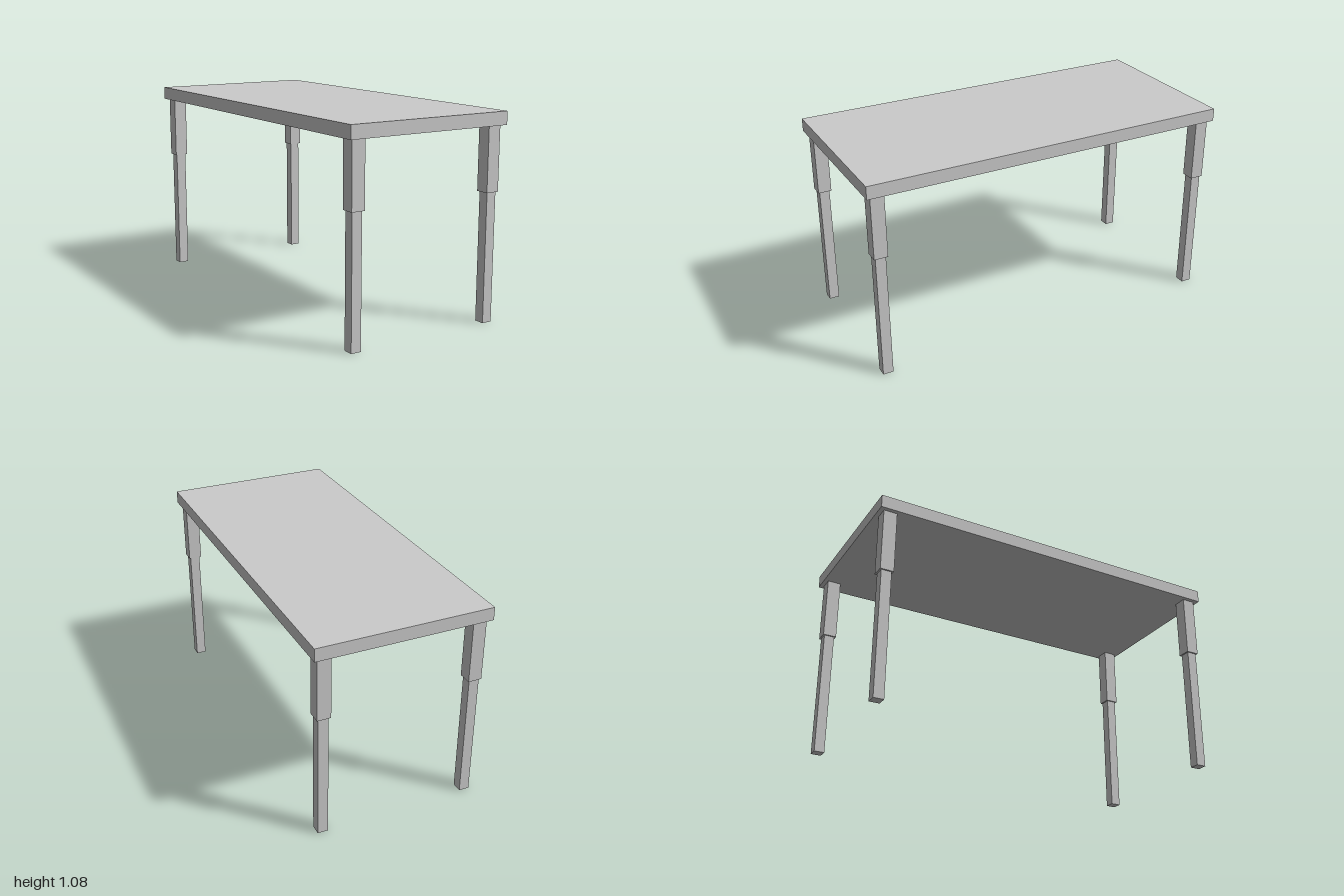
import * as THREE from 'three';

const material = new THREE.MeshStandardMaterial({ color: 0xcccccc, flatShading: true });

// Box standing on height y0 and reaching y1
function block(name, width, depth, y0, y1) {
  const mesh = new THREE.Mesh(new THREE.BoxGeometry(width, y1 - y0, depth), material);
  mesh.name = name;
  mesh.position.y = (y0 + y1) / 2;
  return mesh;
}

// Telescopic leg: thick sleeve above, thinner post below
function createLeg(name, x, z) {
  const leg = new THREE.Group();
  leg.name = name;
  leg.add(block('legSleeve', 0.072, 0.072, 0.678, 1.014));
  leg.add(block('legPost', 0.055, 0.055, 0, 0.678));
  leg.position.set(x, 0, z);
  return leg;
}

export function createModel() {
  const table = new THREE.Group();
  table.name = 'table';
  table.add(block('tableTop', 0.928, 2, 1.014, 1.083));

  // One leg near each corner
  for (const [side, sx] of [['Left', 1], ['Right', -1]]) {
    for (const [end, sz] of [['front', 1], ['back', -1]]) {
      table.add(createLeg(`${end}${side}Leg`, sx * 0.405, sz * 0.941));
    }
  }
  return table;
}
